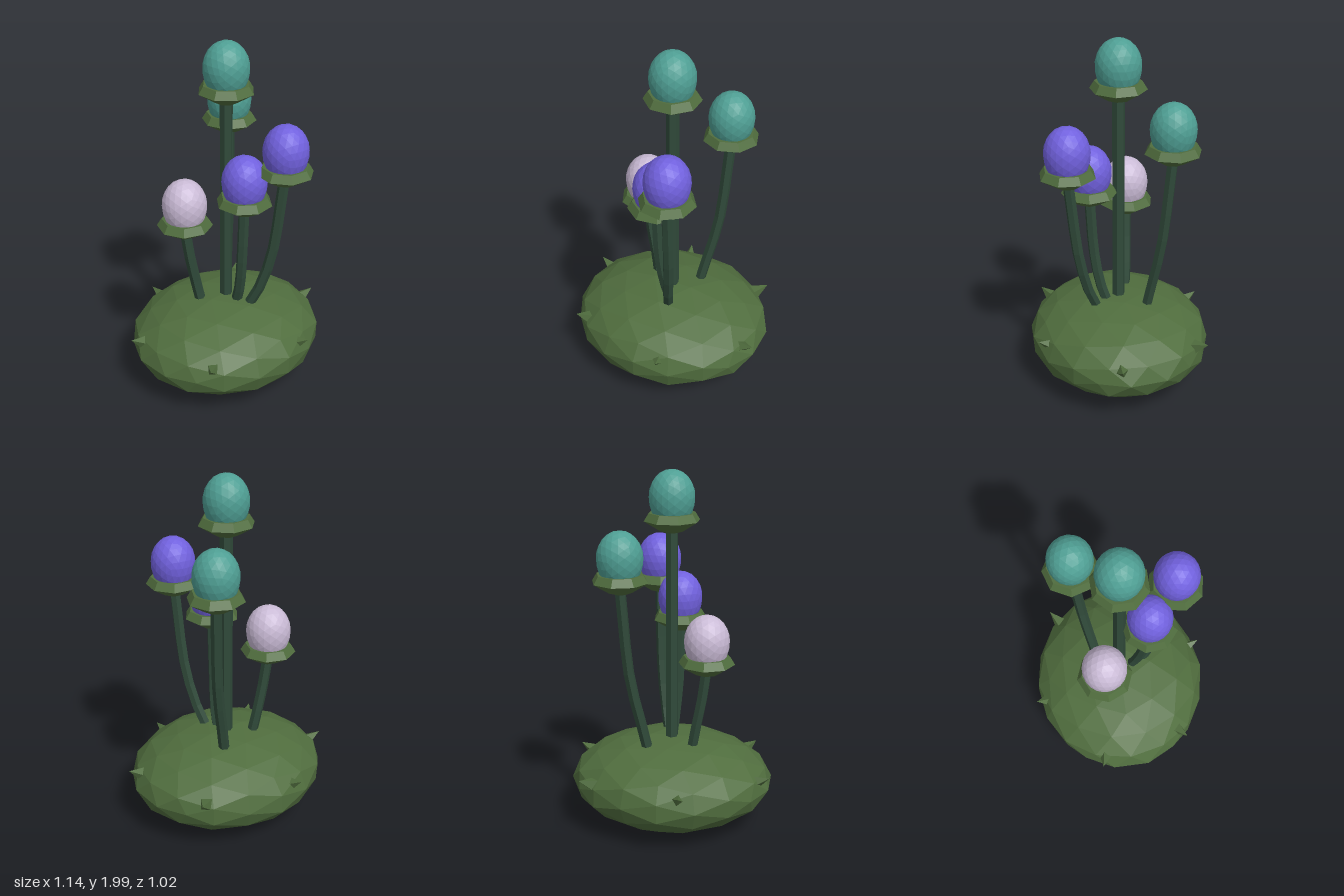
import * as THREE from 'three';

const paint = (name, color) => {
  const m = new THREE.MeshStandardMaterial({ color, flatShading: true });
  m.name = name;
  return m;
};

// Faceted ball with different upper and lower half heights and a slight unevenness
function facetedBall(rx, up, down, rz, detail, rough = 0) {
  const g = new THREE.IcosahedronGeometry(1, detail);
  const p = g.attributes.position;
  for (let i = 0; i < p.count; i++) {
    const x = p.getX(i), y = p.getY(i), z = p.getZ(i);
    const k = 1 + rough * Math.sin(7 * x + 2) * Math.cos(6 * z + 5 * y);
    p.setXYZ(i, x * rx * k, y * (y > 0 ? up : down) * k, z * rz * k);
  }
  g.computeVertexNormals();
  return g;
}

export function createModel() {
  const green = paint('moss green', 0x506d3e);
  const stemGreen = paint('dark stem green', 0x304a3a);
  const teal = paint('teal', 0x4f9f94);
  const violet = paint('violet', 0x7161de);
  const pink = paint('pale lilac', 0xcabbd6);

  const model = new THREE.Group();
  model.name = 'buddingPlant';
  const add = (parent, name, geometry, material) => {
    const mesh = new THREE.Mesh(geometry, material);
    mesh.name = name;
    parent.add(mesh);
    return mesh;
  };

  // Squashed rounded base
  const base = add(model, 'base', facetedBall(0.568, 0.257, 0.252, 0.508, 2, 0.015), green);
  base.position.y = 0.255;

  // Small thorns around the shoulder of the base
  const thornGeometry = new THREE.ConeGeometry(0.05, 0.11, 4);
  const up = new THREE.Vector3(0, 1, 0);
  [[-0.11, -0.47], [-0.52, -0.155], [-0.41, 0.32], [0.13, 0.46], [0.52, 0.14], [0.41, -0.345]].forEach(([x, z]) => {
    const thorn = add(model, 'thorn', thornGeometry, green);
    thorn.position.set(x, 0.335, z);
    thorn.quaternion.setFromUnitVectors(up, new THREE.Vector3(x, 0.25, z).normalize());
  });

  // Cup and bud are measured down from the top of the bud
  const cupGeometry = new THREE.LatheGeometry(
    [[0, -0.345], [0.065, -0.325], [0.153, -0.27], [0.127, -0.228], [0, -0.235]].map(([r, y]) => new THREE.Vector2(r, y)), 8);
  const budGeometry = facetedBall(0.123, 0.145, 0.17, 0.123, 3);
  budGeometry.translate(0, -0.145, 0);

  // Each stalk: top of the bud, then the points of its stem
  const stalks = [
    { top: [0, 2.0, 0], material: teal, stem: [[0, 0.48, 0], [0, 1.1, 0], [0, 1.68, 0]] },
    { top: [0.236, 1.71, -0.222], material: teal, stem: [[0.115, 0.47, -0.13], [0.145, 0.62, -0.15], [0.2, 0.9, -0.185], [0.236, 1.39, -0.222]] },
    { top: [0.125, 1.6, 0.315], material: violet, stem: [[0.04, 0.47, 0.14], [0.065, 0.58, 0.19], [0.1, 0.82, 0.255], [0.12, 1.28, 0.312]] },
    { top: [-0.02, 1.42, 0.16], material: violet, stem: [[0.01, 0.47, 0.07], [0, 0.6, 0.11], [-0.015, 0.8, 0.14], [-0.02, 1.1, 0.158]] },
    { top: [-0.208, 1.25, -0.108], material: pink, stem: [[-0.125, 0.46, -0.075], [-0.15, 0.6, -0.09], [-0.185, 0.78, -0.1], [-0.205, 0.93, -0.108]] },
  ];
  stalks.forEach(({ top, material, stem }, i) => {
    const stalk = new THREE.Group();
    stalk.name = 'stalk' + (i + 1);
    model.add(stalk);
    const curve = new THREE.CatmullRomCurve3(stem.map((p) => new THREE.Vector3(...p)));
    add(stalk, 'stem', new THREE.TubeGeometry(curve, 6, i ? 0.03 : 0.035, 6), stemGreen);
    const cup = add(stalk, 'cup', cupGeometry, green);
    cup.position.set(...top);
    cup.rotation.y = 0.4 + i * 0.3;
    const bud = add(stalk, 'bud', budGeometry, material);
    bud.position.set(...top);
    bud.rotation.y = i * 0.7;
  });

  return model;
}
